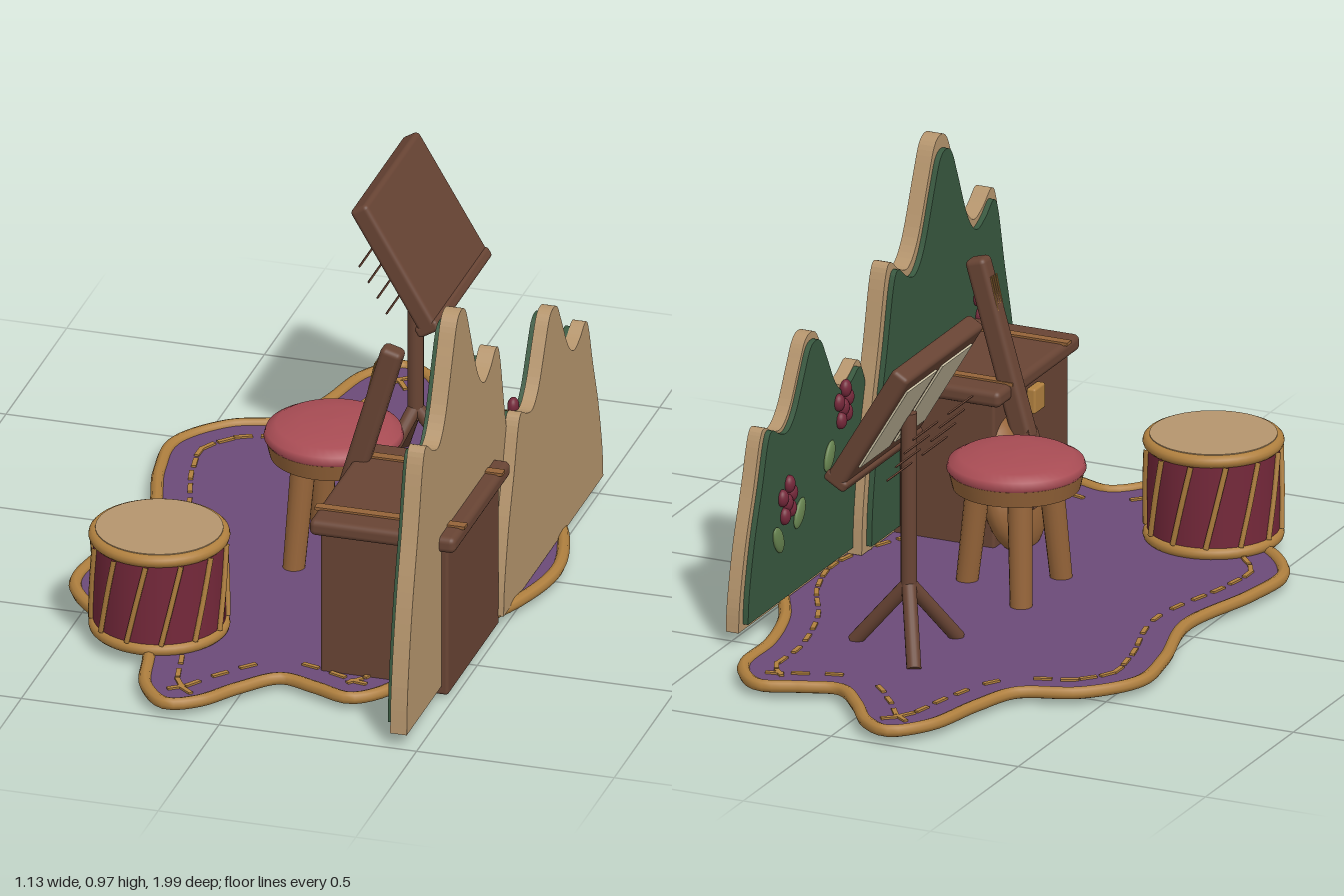
import * as THREE from 'three';
import { RoundedBoxGeometry } from 'three/addons/geometries/RoundedBoxGeometry.js';

const mat = (name, color) => {
  const m = new THREE.MeshStandardMaterial({ color });
  m.name = name;
  return m;
};
const V = (x, y, z) => new THREE.Vector3(x, y, z);

export function createModel() {
  const purple = mat('purple felt', 0x6b4a78);
  const gold = mat('gold cord', 0xb0803f);
  const tan = mat('tan plywood', 0xb5956d);
  const maroon = mat('maroon', 0x74283a);
  const brown = mat('dark wood', 0x684434);
  const red = mat('red cushion', 0xa84c54);
  const green = mat('dark green', 0x38583f);
  const leafGreen = mat('leaf green', 0x66824f);
  const wood = mat('warm wood', 0x956439);
  const cream = mat('cream paper', 0xcfc4a6);

  const root = new THREE.Group();
  const group = (name, parent = root, x = 0, y = 0, z = 0) => {
    const g = new THREE.Group();
    g.name = name;
    g.position.set(x, y, z);
    parent.add(g);
    return g;
  };
  const add = (parent, name, geo, material, x = 0, y = 0, z = 0) => {
    const m = new THREE.Mesh(geo, material);
    m.name = name;
    m.position.set(x, y, z);
    parent.add(m);
    return m;
  };
  // tapered round bar between two points
  const bar = (parent, name, a, b, ra, rb, material, sides = 16) => {
    const m = add(parent, name, new THREE.CylinderGeometry(rb, ra, a.distanceTo(b), sides), material);
    m.position.copy(a).lerp(b, 0.5);
    m.quaternion.setFromUnitVectors(V(0, 1, 0), b.clone().sub(a).normalize());
    return m;
  };
  const ball = (parent, name, material, x, y, z, rx, ry, rz) => {
    const m = add(parent, name, new THREE.SphereGeometry(1, 24, 16), material, x, y, z);
    m.scale.set(rx, ry, rz);
    return m;
  };
  const ring = (parent, name, r, tube, material, y) =>
    add(parent, name, new THREE.TorusGeometry(r, tube, 12, 48).rotateX(Math.PI / 2), material, 0, y, 0);

  // Rug: wavy outline, mirrored front to back
  const half = [[0.545, 0], [0.505, 0.19], [0.42, 0.37], [0.375, 0.55], [0.365, 0.72], [0.28, 0.82],
    [0.18, 0.79], [0.085, 0.765], [0, 0.85], [-0.07, 0.945], [-0.14, 0.98], [-0.215, 0.9], [-0.26, 0.73],
    [-0.31, 0.605], [-0.45, 0.54], [-0.545, 0.41], [-0.535, 0.25], [-0.48, 0]];
  const outline = [...half, ...half.slice(1, -1).reverse().map(([x, z]) => [x, -z])];
  const edge = new THREE.CatmullRomCurve3(outline.map(([x, z]) => V(x, 0, z)), true);
  const rug = group('rug');
  const rugShape = new THREE.Shape(edge.getPoints(180).slice(0, -1).map(p => new THREE.Vector2(p.x, -p.z)));
  add(rug, 'rugFelt', new THREE.ExtrudeGeometry(rugShape, { depth: 0.018, bevelEnabled: false })
    .rotateX(-Math.PI / 2), purple, 0, 0.015, 0);
  add(rug, 'rugTrim', new THREE.TubeGeometry(edge, 240, 0.016, 8, true), gold, 0, 0.03, 0);
  const stitch = new THREE.BoxGeometry(0.012, 0.008, 0.045);
  for (let i = 0; i < 68; i++) {
    const p = edge.getPointAt(i / 68), t = edge.getTangentAt(i / 68);
    add(rug, 'stitch', stitch, gold, p.x - t.z * 0.08, 0.034, p.z + t.x * 0.08)
      .rotation.y = Math.atan2(t.x, t.z);
  }

  // Drum with slanted cords
  const drum = group('drum', root, -0.28, 0, 0.58);
  add(drum, 'drumShell', new THREE.CylinderGeometry(0.161, 0.161, 0.25, 48), maroon, 0, 0.155, 0);
  add(drum, 'drumSkin', new THREE.CylinderGeometry(0.155, 0.158, 0.03, 48), tan, 0, 0.285, 0);
  for (const y of [0.045, 0.282]) ring(drum, 'drumHoop', 0.156, 0.016, gold, y);
  for (let i = 0; i < 12; i++) {
    const at = (a, y) => V(0.166 * Math.sin(a), y, 0.166 * Math.cos(a));
    const a = (i / 12) * Math.PI * 2 + 0.1;
    const cord = new THREE.CatmullRomCurve3([at(a - 0.3, 0.06), at(a - 0.15, 0.165), at(a, 0.27)]);
    add(drum, 'drumCord', new THREE.TubeGeometry(cord, 8, 0.007, 6), gold);
  }

  // Three-legged stool
  const stool = group('stool', root, 0, 0, 0.055);
  const cushion = [[0, 0.33], [0.16, 0.33], [0.17, 0.343], [0.165, 0.36], [0.14, 0.374], [0.08, 0.383], [0, 0.386]];
  add(stool, 'stoolCushion', new THREE.LatheGeometry(cushion.map(p => new THREE.Vector2(...p)), 48), red);
  add(stool, 'stoolSeat', new THREE.CylinderGeometry(0.165, 0.155, 0.042, 48), wood, 0, 0.315, 0);
  for (let i = 0; i < 3; i++) {
    const a = (i * Math.PI * 2) / 3, c = Math.cos(a), s = Math.sin(a);
    bar(stool, 'stoolLeg', V(0.135 * c, 0.004, 0.135 * s), V(0.1 * c, 0.3, 0.1 * s), 0.027, 0.031, wood);
  }

  // Music stand
  const stand = group('musicStand', root, 0.055, 0, -0.44);
  bar(stand, 'standPole', V(0, 0.17, 0), V(0, 0.64, 0), 0.02, 0.02, brown);
  for (let i = 0; i < 3; i++) {
    const a = (i * Math.PI * 2) / 3;
    bar(stand, 'standLeg', V(0.145 * Math.cos(a), 0.03, 0.145 * Math.sin(a)), V(0, 0.2, 0), 0.018, 0.018, brown);
  }
  const desk = group('standDesk', stand, 0.011, 0.665, 0);
  desk.rotation.z = 0.535;
  add(desk, 'deskBoard', new RoundedBoxGeometry(0.05, 0.36, 0.44, 3, 0.012), brown);
  add(desk, 'deskLip', new RoundedBoxGeometry(0.064, 0.03, 0.44, 3, 0.01), brown, -0.002, -0.168, 0);
  for (const z of [-0.1, 0.1]) {
    add(desk, 'sheet', new THREE.BoxGeometry(0.006, 0.25, 0.17), cream, -0.027, 0.01, z);
    for (let i = 0; i < 4; i++)
      add(desk, 'staffLine', new THREE.BoxGeometry(0.004, 0.004, 0.14), brown, -0.1, 0.03 - i * 0.045, z);
  }

  // Scenery flats: mountain silhouette with an inset green face
  const side = [[1, 0], [0.98, 0.13], [0.9, 0.34], [0.79, 0.54], [0.705, 0.71], [0.64, 0.75], [0.53, 0.715],
    [0.41, 0.7], [0.29, 0.76], [0.16, 0.9], [0.08, 0.98]];
  const profile = [...side, [0, 1], ...side.slice().reverse().map(([u, v]) => [-u, v])];
  const ridge = (w, h, depth) => {
    const curve = new THREE.SplineCurve(profile.map(([u, v]) => new THREE.Vector2(u * w, v * h)));
    return new THREE.ExtrudeGeometry(new THREE.Shape(curve.getPoints(110)), { depth, bevelEnabled: false })
      .rotateY(-Math.PI / 2);
  };
  const flat = (x, z, w, h, thick, berries, leaves) => {
    const g = group('sceneryFlat', root, x, 0.035, z);
    add(g, 'flatBoard', ridge(w, h, thick), tan);
    add(g, 'flatPaint', ridge(w * 0.94, h * 0.945, 0.014), green, -thick, 0.016, 0);
    const front = -thick - 0.018;
    for (const [dz, y] of berries)
      for (const [a, b] of [[0, 0], [0.027, 0.018], [-0.026, 0.02], [0.012, 0.045], [-0.014, -0.03], [0.02, -0.02]])
        ball(g, 'berry', maroon, front, y + b, dz + a, 0.014, 0.022, 0.018);
    for (const [dz, y, tilt] of leaves)
      ball(g, 'leaf', leafGreen, front, y, dz, 0.009, 0.04, 0.022).rotation.x = tilt;
  };
  flat(0.472, 0.54, 0.45, 0.935, 0.042, [[0.2, 0.44]], [[0.11, 0.34, 0.6], [-0.05, 0.385, -0.6], [0.2, 0.25, 0.3]]);
  flat(0.502, -0.12, 0.41, 0.64, 0.034, [[-0.17, 0.26], [0.15, 0.4]], [[-0.1, 0.21, 0.6], [-0.22, 0.18, -0.5], [0.07, 0.3, 0.5]]);

  // Chest
  const chest = group('chest', root, 0.326, 0, 0.49);
  add(chest, 'chestBody', new RoundedBoxGeometry(0.324, 0.4, 0.424, 2, 0.008), brown, 0, 0.21, 0);
  add(chest, 'chestLid', new RoundedBoxGeometry(0.37, 0.042, 0.466, 3, 0.015), brown, 0, 0.421, 0);
  for (const z of [-0.155, 0.155])
    add(chest, 'lidStrap', new THREE.BoxGeometry(0.38, 0.008, 0.025), wood, 0, 0.443, z);
  add(chest, 'clasp', new RoundedBoxGeometry(0.024, 0.065, 0.06, 2, 0.006), gold, -0.174, 0.352, 0);

  // Stringed instrument leaning on the chest
  const lute = group('lute', root, 0.15, 0.17, 0.35);
  lute.rotation.z = -0.28;
  ball(lute, 'luteLowerBody', wood, 0.005, -0.035, 0, 0.06, 0.13, 0.115);
  ball(lute, 'luteUpperBody', wood, -0.015, 0.085, 0, 0.05, 0.1, 0.085);
  const neck = add(lute, 'luteNeck', new RoundedBoxGeometry(0.056, 0.47, 0.05, 3, 0.014), brown, -0.075, 0.345, 0);
  neck.position.x = -0.07;
  add(lute, 'luteBridge', new THREE.BoxGeometry(0.014, 0.02, 0.07), brown, -0.055, -0.045, 0);
  add(lute, 'soundHole', new THREE.CylinderGeometry(0.028, 0.028, 0.014, 24).rotateZ(Math.PI / 2), brown, -0.088, 0.12, 0);
  for (const z of [-0.015, -0.005, 0.005, 0.015])
    bar(lute, 'luteString', V(-0.064, -0.045, z), V(-0.101, 0.53, z), 0.002, 0.002, gold, 6);

  return root;
}
